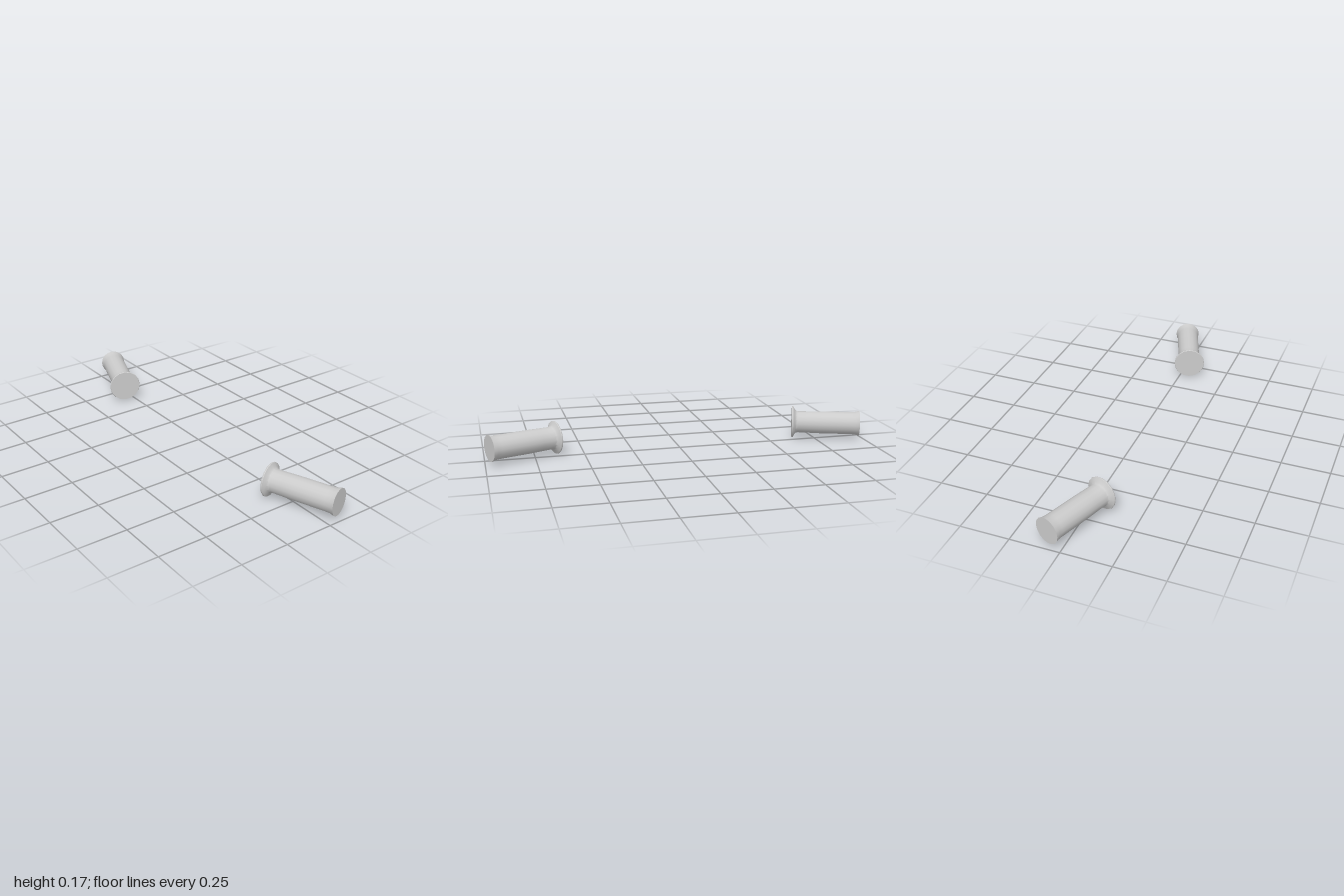
import * as THREE from 'three';
import { toCreasedNormals } from 'three/addons/utils/BufferGeometryUtils.js';

// radius and distance along the grip, from the inner flange to the outer end
const PROFILE = [
  [0, 0], [0.083, 0], [0.085, 0.004], [0.084, 0.008], [0.067, 0.017], [0.06, 0.024], [0.0575, 0.034],
  [0.0585, 0.09], [0.06, 0.15], [0.06, 0.315], [0.0615, 0.338], [0.0675, 0.36], [0, 0.36],
];

export function createModel() {
  const model = new THREE.Group();
  model.name = 'handlebarGrips';
  const material = new THREE.MeshStandardMaterial({ color: 0xcccccc });

  // One flanged grip turned about its own length, lying along +x
  const lathe = new THREE.LatheGeometry(PROFILE.map(([r, d]) => new THREE.Vector2(r, d)), 16);
  lathe.rotateZ(-Math.PI / 2);
  const geometry = toCreasedNormals(lathe, 0.55);

  // Mirrored pair: outer ends swept back by about 20 degrees
  const sweep = THREE.MathUtils.degToRad(20);
  for (const side of [1, -1]) {
    const grip = new THREE.Mesh(geometry, material);
    grip.name = side > 0 ? 'leftGrip' : 'rightGrip';
    grip.position.set(side * 0.638, 0.086, 0.053);
    grip.rotation.y = side > 0 ? sweep : Math.PI - sweep;
    model.add(grip);
  }
  return model;
}
